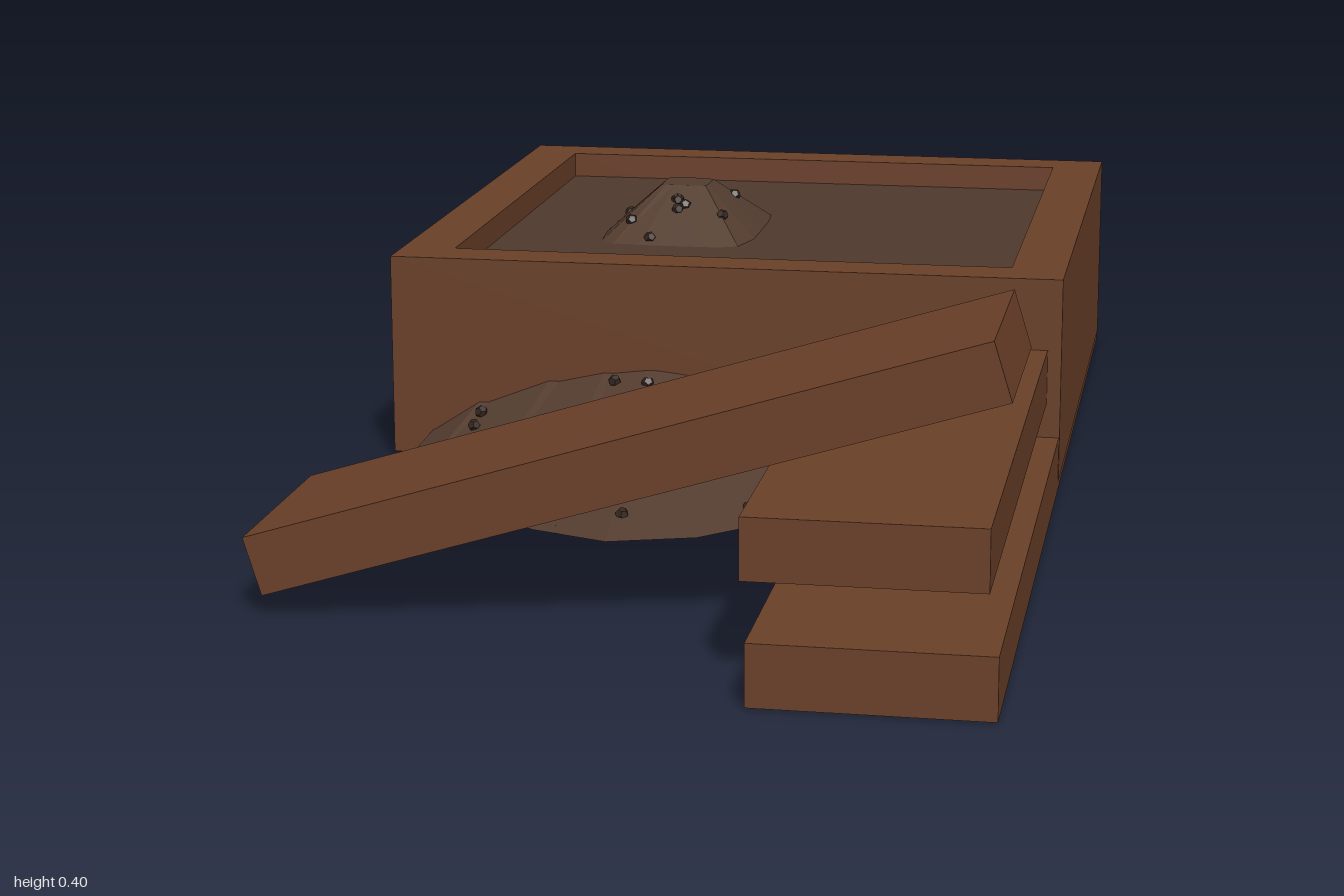
import * as THREE from 'three';
import { mergeGeometries } from 'three/addons/utils/BufferGeometryUtils.js';

const mat = (color) => new THREE.MeshStandardMaterial({ color, flatShading: true });

export function createModel() {
  const group = new THREE.Group();
  const wood = mat(0x6b4029), soil = mat(0x4f392c), earth = mat(0x533c2f), stone = mat(0x35261e);
  const add = (name, geometry, material) => {
    const mesh = new THREE.Mesh(geometry, material);
    mesh.name = name;
    group.add(mesh);
    return mesh;
  };
  const box = (name, material, x0, x1, y0, y1, z0, z1) => {
    const mesh = add(name, new THREE.BoxGeometry(x1 - x0, y1 - y0, z1 - z0), material);
    mesh.position.set((x0 + x1) / 2, (y0 + y1) / 2, (z0 + z1) / 2);
    return mesh;
  };

  // Planter frame: a square outline with a square hole, extruded upward
  const square = (Type, a, b) => new Type([[-a, -b], [a, -b], [a, b], [-a, b]].map((p) => new THREE.Vector2(...p)));
  const outline = square(THREE.Shape, 0.5, 0.5);
  outline.holes.push(square(THREE.Path, 0.42, 0.425));
  const frame = new THREE.ExtrudeGeometry(outline, { depth: 0.3, bevelEnabled: false });
  frame.rotateX(-Math.PI / 2).translate(0, 0.015, -0.5);
  add('planterFrame', frame, wood);
  box('soilFill', soil, -0.42, 0.42, 0.03, 0.275, -0.925, -0.075);

  // Loose planks: two lying along the right edge, one leaning across them
  box('lowerPlank', wood, 0.2, 0.499, 0, 0.08, -0.999, 1);
  box('upperPlank', wood, 0.18, 0.48, 0.13, 0.21, -0.9, 0.92);
  const leaning = add('leaningPlank', new THREE.BoxGeometry(1, 0.08, 0.3), wood);
  leaning.position.set(0, 0.2125, 0.61);
  leaning.rotation.z = 0.3;

  // Earth mound: irregular foot, rounded shoulder and small flat top
  const foot = [
    [-0.09, 0.41], [0.03, 0.37], [0.13, 0.27], [0.2, 0.14], [0.29, -0.1], [0.34, -0.5], [0.32, -0.85],
    [0.2, -0.98], [-0.14, -0.985], [-0.38, -0.95], [-0.42, -0.7], [-0.45, -0.3],
    [-0.46, -0.02], [-0.47, 0.06], [-0.43, 0.16], [-0.32, 0.29], [-0.2, 0.37],
  ];
  const n = foot.length, cx = -0.14, cz = -0.5;
  // Rounded rectangle around the peak, in the direction of each foot point
  const ring = (hx, hz, y, power) => foot.map(([x, z]) => {
    const a = Math.atan2((z - cz) / 0.9, (x - cx) / 0.5);
    const c = Math.cos(a), s = Math.sin(a);
    const r = Math.pow(Math.abs(c) ** power + Math.abs(s) ** power, -1 / power);
    return new THREE.Vector3(cx + hx * r * c, y, cz + hz * r * s);
  });
  const rings = [
    foot.map(([x, z], i) => new THREE.Vector3(x, i === 10 ? 0 : 0.014, z)),
    ring(0.125, 0.165, 0.272, 6),
    ring(0.037, 0.035, 0.35, 20),
  ];
  const top = new THREE.Vector3(cx, 0.35, cz), bottom = new THREE.Vector3(-0.1, 0.014, -0.3);
  const tris = [];
  for (let i = 0; i < n; i++) {
    const j = (i + 1) % n;
    for (let k = 0; k < 2; k++) {
      const [a, b, c, d] = [rings[k][i], rings[k][j], rings[k + 1][j], rings[k + 1][i]];
      tris.push(a, b, c, a, c, d);
    }
    tris.push(rings[2][i], rings[2][j], top, rings[0][j], rings[0][i], bottom);
  }
  const mound = new THREE.BufferGeometry().setFromPoints(tris);
  mound.computeVertexNormals();
  add('earthMound', mound, earth);

  // Pebbles scattered over the mound slopes and its underside
  let seed = 17;
  const rand = () => (seed = (seed * 16807) % 2147483647) / 2147483647;
  const pebbles = [];
  const pebble = (p, r) => {
    const g = new THREE.DodecahedronGeometry(r);
    g.rotateX(rand() * 6).rotateY(rand() * 6).translate(p.x, p.y, p.z);
    pebbles.push(g);
  };
  for (let i = 0; i < 60; i++) {
    const k = i % 6 === 0 ? 1 : 0, s = Math.floor(rand() * n);
    pebble(rings[k][s].clone().lerp(rings[k][(s + 1) % n], rand()).lerp(rings[k + 1][s], 0.05 + rand() * 0.75), 0.01);
  }
  for (let i = 0; i < 90; i++) {
    const s = Math.floor(rand() * n);
    const p = rings[0][s].clone().lerp(rings[0][(s + 1) % n], rand()).lerp(bottom, 1 - Math.sqrt(rand() * 0.95));
    pebble(p, 0.007);
  }
  add('pebbles', mergeGeometries(pebbles), stone);

  return group;
}
